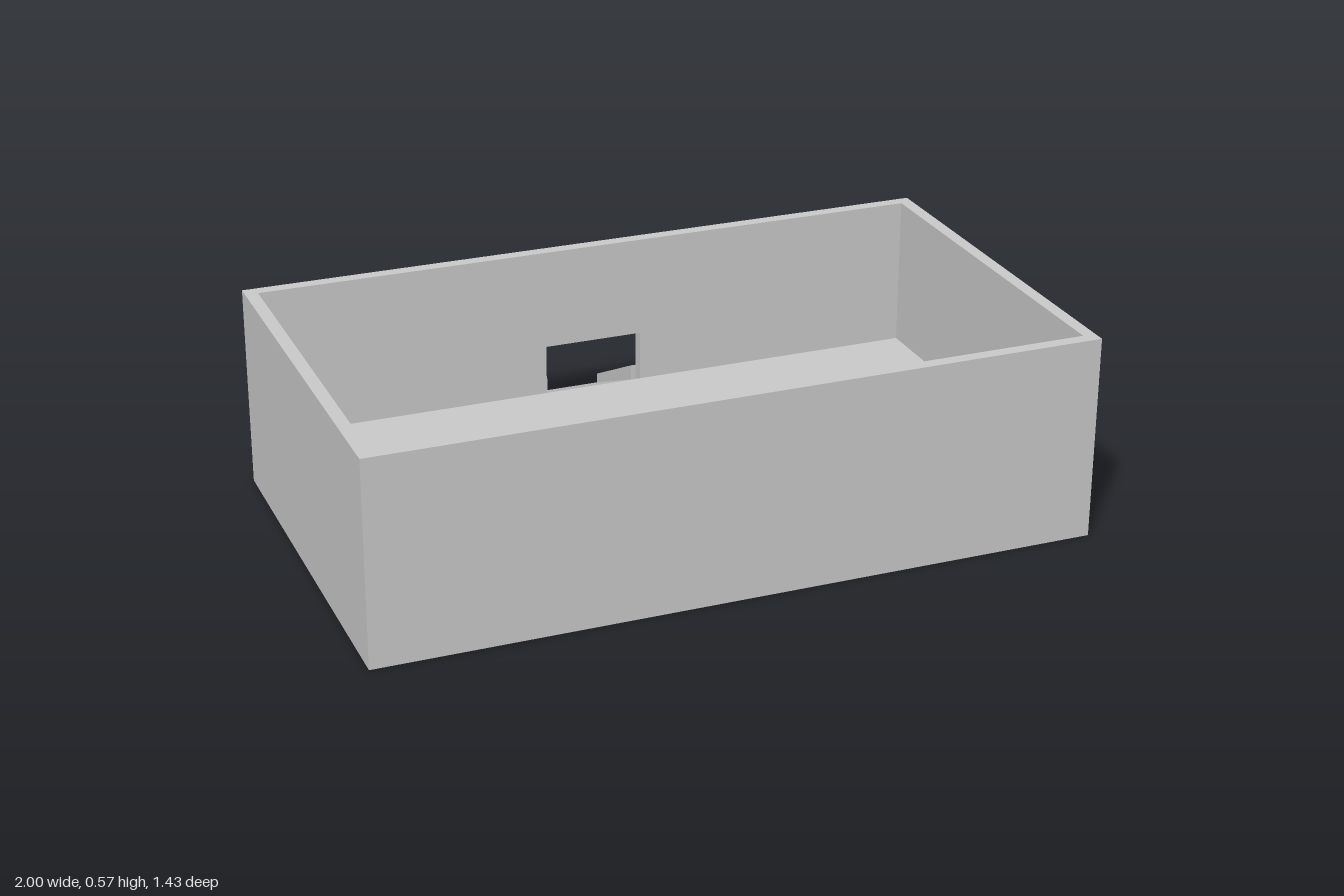
import * as THREE from 'three';

const U = 1 / 7;                 // design unit
const WALL = U / 4;              // wall thickness
const HEIGHT = 4 * U;
const FRONT = 5 * U, BACK = -3 * U, RAMP_END = -5 * U;
const DECK = U;                  // floor height
const DOOR = U;                  // half width of the doorway
const RAIL = U / 10;             // ramp rail thickness

export function createModel() {
  const group = new THREE.Group();
  const material = new THREE.MeshStandardMaterial({ color: 0xcccccc, flatShading: true, side: THREE.DoubleSide });

  const add = (name, geometry, x = 0, y = 0, z = 0) => {
    const mesh = new THREE.Mesh(geometry, material);
    mesh.name = name;
    mesh.position.set(x, y, z);
    group.add(mesh);
    return mesh;
  };
  const extrude = (points, depth) => new THREE.ExtrudeGeometry(
    new THREE.Shape(points.map(([x, y]) => new THREE.Vector2(x, y))),
    { depth, bevelEnabled: false });

  // Rim of four walls, open at the top and bottom
  const depth = FRONT - BACK, midZ = (FRONT + BACK) / 2;
  add('frontWall', new THREE.BoxGeometry(2, HEIGHT, WALL), 0, HEIGHT / 2, FRONT - WALL / 2);
  for (const [name, side] of [['leftWall', 1], ['rightWall', -1]]) {
    add(name, new THREE.BoxGeometry(WALL, HEIGHT, depth - 2 * WALL), side * (1 - WALL / 2), HEIGHT / 2, midZ);
  }

  // Back wall with a doorway cut up from its lower edge
  add('backWall', extrude([
    [-1, 0], [-DOOR, 0], [-DOOR, 2 * U], [DOOR, 2 * U],
    [DOOR, 0], [1, 0], [1, HEIGHT], [-1, HEIGHT],
  ], WALL), 0, 0, BACK);

  // Thin raised floor
  add('floor', new THREE.PlaneGeometry(2 - 2 * WALL, depth - 2 * WALL).rotateX(-Math.PI / 2), 0, DECK, midZ);

  // Thin sloping ramp from the floor down to the ground
  const run = BACK + WALL - RAMP_END;
  const ramp = add('ramp', new THREE.PlaneGeometry(2 * DOOR, Math.hypot(run, DECK)).rotateX(-Math.PI / 2),
    0, DECK / 2, RAMP_END + run / 2);
  ramp.rotation.x = -Math.atan2(DECK, run);
  // Tilt so that the end inside the doorway is the higher one

  // Sloping side rails that reach the ground
  const profile = [[-BACK, 0], [-RAMP_END, 0], [-RAMP_END, U / 5], [-BACK, DECK + U / 5]];
  for (const [name, x] of [['leftRail', DOOR - RAIL], ['rightRail', -DOOR]]) {
    add(name, extrude(profile, RAIL).rotateY(Math.PI / 2), x);
  }
  return group;
}
